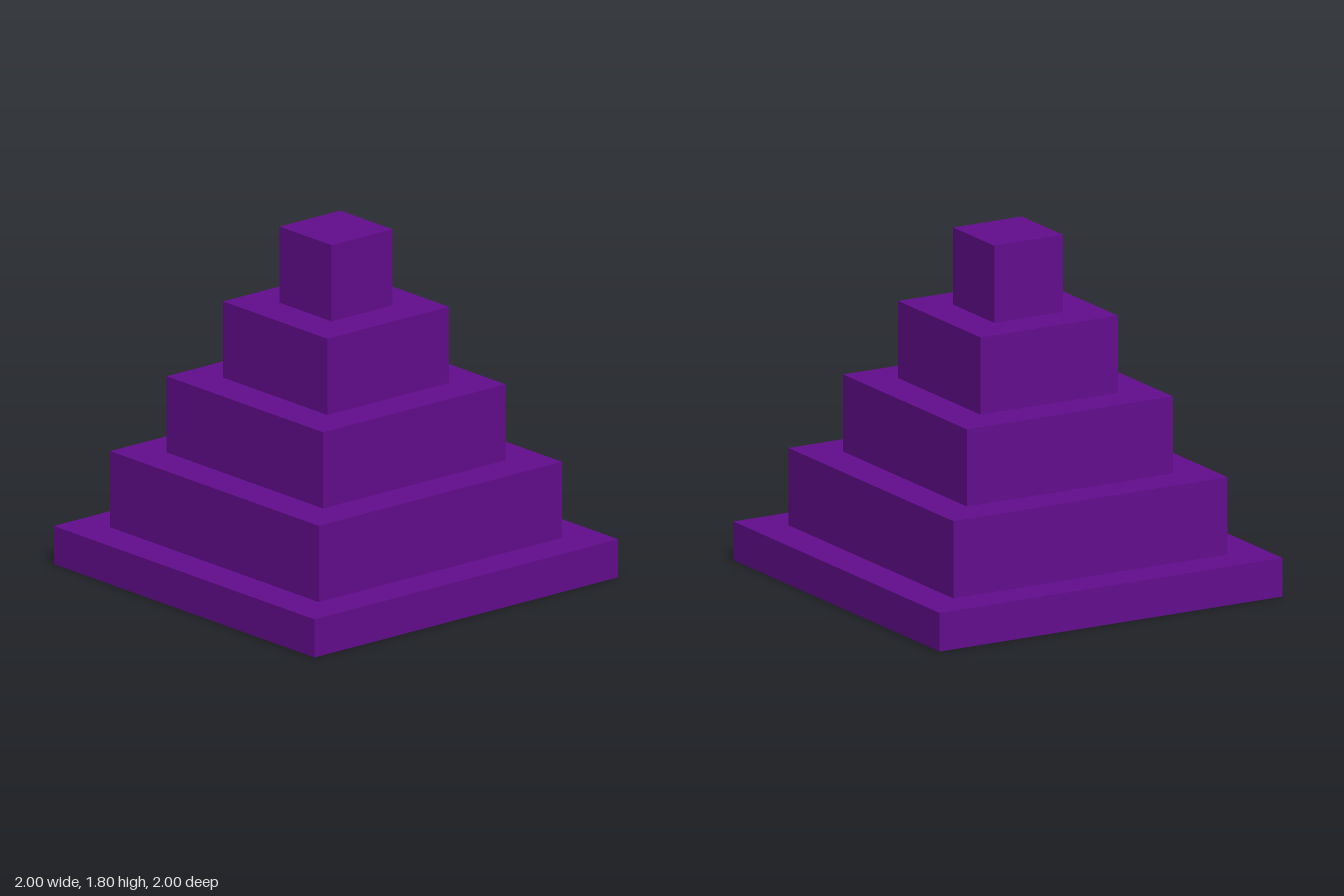
import * as THREE from 'three';

export function createModel() {
  const model = new THREE.Group();
  model.name = 'steppedPyramid';
  const purple = new THREE.MeshStandardMaterial({ name: 'purple', color: 0x630d8e });

  // Square tiers from the ground up: [name, width, height]
  const tiers = [
    ['basePlinth', 2, 0.2],
    ['lowerTier', 1.6, 0.4],
    ['middleTier', 1.2, 0.4],
    ['upperTier', 0.8, 0.4],
    ['topBlock', 0.4, 0.4],
  ];

  let y = 0;
  for (const [name, width, height] of tiers) {
    const tier = new THREE.Mesh(new THREE.BoxGeometry(width, height, width), purple);
    tier.name = name;
    tier.position.y = y + height / 2;
    model.add(tier);
    y += height;
  }
  return model;
}
